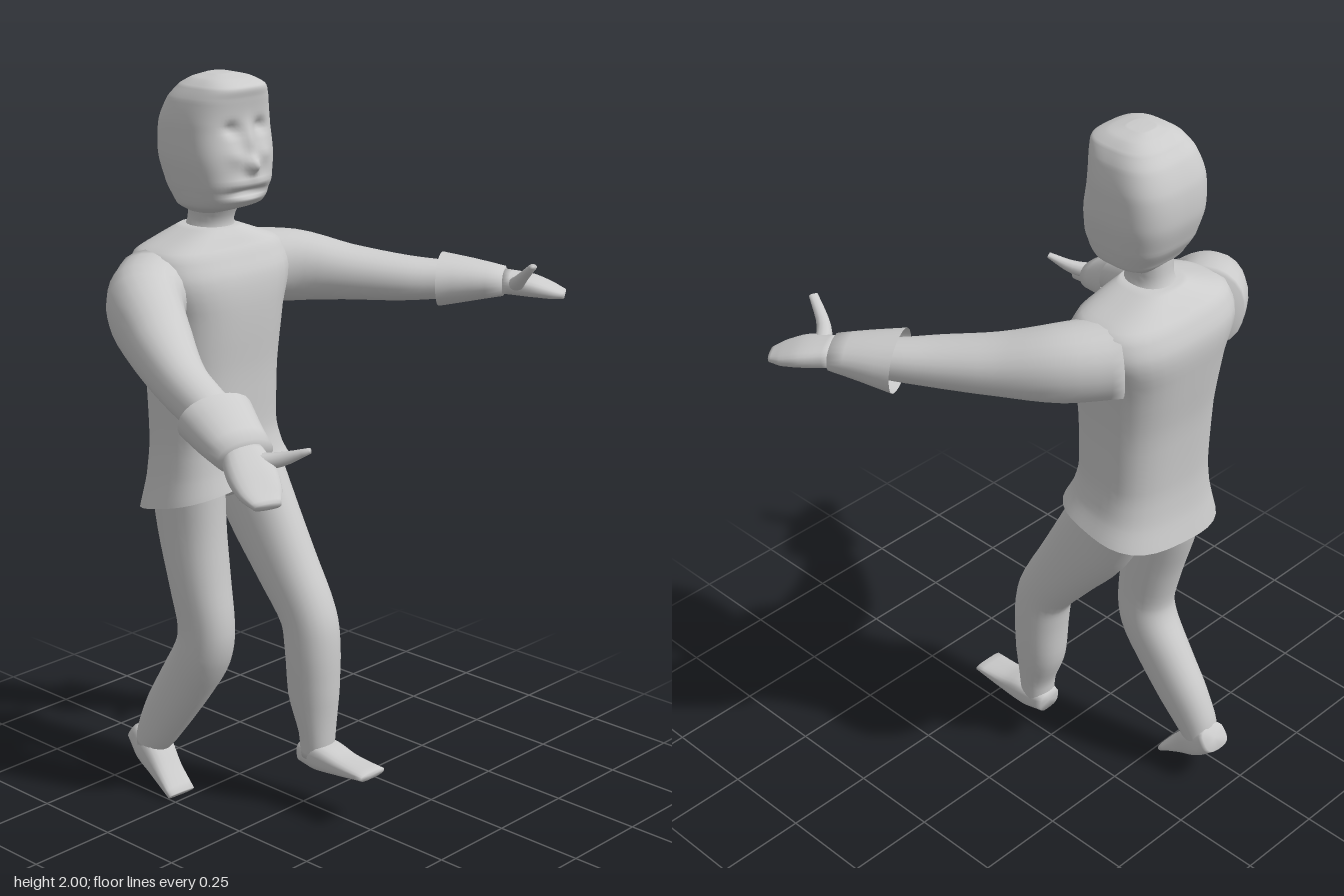
import * as THREE from 'three';

const X = new THREE.Vector3(1, 0, 0);
const Y = new THREE.Vector3(0, 1, 0);
const material = new THREE.MeshStandardMaterial({ color: 0xcccccc, side: THREE.DoubleSide });

// Smooth skin through sections [x, y, z, a, b]: a is the half size along ref,
// b the half size across it, n the squareness of the outline.
function loft(name, sections, { ref = X, axis = null, n = 2.2, seg = 24, sub = 4, caps = [true, true], shape = null } = {}) {
  const path = new THREE.CatmullRomCurve3(sections.map(s => new THREE.Vector3(s[0], s[1], s[2])));
  const size = new THREE.CatmullRomCurve3(sections.map(s => new THREE.Vector3(s[3], s[4], 0)));
  const rows = (sections.length - 1) * sub;
  const pos = [], index = [];
  for (let i = 0; i <= rows; i++) {
    const k = i / rows, c = path.getPoint(k), r = size.getPoint(k);
    const t = axis ? axis.clone() : path.getPoint(Math.min(1, k + 0.01)).sub(path.getPoint(Math.max(0, k - 0.01))).normalize();
    const u = ref.clone().addScaledVector(t, -ref.dot(t)).normalize();
    const v = t.clone().cross(u);
    for (let j = 0; j < seg; j++) {
      const w = j / seg * Math.PI * 2, cs = Math.cos(w), sn = Math.sin(w);
      const m = Math.pow(Math.abs(cs) ** n + Math.abs(sn) ** n, -1 / n);
      const p = c.clone().addScaledVector(u, cs * m * r.x).addScaledVector(v, sn * m * r.y);
      if (shape) shape(p);
      pos.push(p.x, p.y, p.z);
      if (i < rows) {
        const a = i * seg + j, b = i * seg + (j + 1) % seg;
        index.push(a, b, a + seg, b, b + seg, a + seg);
      }
    }
  }
  // End caps
  [0, rows].forEach((row, e) => {
    if (!caps[e]) return;
    const c = path.getPoint(e), id = pos.length / 3;
    if (shape) shape(c);
    pos.push(c.x, c.y, c.z);
    for (let j = 0; j < seg; j++) {
      const a = row * seg + j, b = row * seg + (j + 1) % seg;
      index.push(id, ...(e ? [a, b] : [b, a]));
    }
  });
  const g = new THREE.BufferGeometry();
  g.setAttribute('position', new THREE.Float32BufferAttribute(pos, 3));
  g.setIndex(index);
  g.computeVertexNormals();
  const mesh = new THREE.Mesh(g, material);
  mesh.name = name;
  return mesh;
}

// Front bumps and hollows of the face: [x offset, y, depth, x spread, y spread]
const features = [
  [-0.05, 1.868, -0.018, 0.022, 0.016], [0.05, 1.868, -0.018, 0.022, 0.016],
  [0, 1.835, 0.012, 0.016, 0.04], [0, 1.775, 0.03, 0.02, 0.02],
  [-0.05, 1.80, 0.008, 0.025, 0.02], [0.05, 1.80, 0.008, 0.025, 0.02],
  [0, 1.73, 0.012, 0.07, 0.012], [0, 1.705, -0.018, 0.06, 0.009], [0, 1.685, 0.01, 0.05, 0.01],
];
function sculptFace(p) {
  if (p.z < -0.19) return;
  const x = p.x + 0.085, y = p.y;
  for (const [fx, fy, d, sx, sy] of features)
    p.z += d * Math.exp(-(((x - fx) / sx) ** 2) - ((y - fy) / sy) ** 2);
}

// Hem dips towards the back and the right side
function tiltHem(p) {
  const k = Math.max(0, (1.1 - p.y) / 0.2);
  p.y += k * ((p.x + 0.09) * 0.13 + (p.z + 0.24) * 0.25);
}

function arm(side, sleeve, cuff, hand, thumb) {
  const g = new THREE.Group();
  g.name = side + 'Arm';
  g.add(
    loft(side + 'Sleeve', sleeve, { ref: Y }),
    loft(side + 'Cuff', cuff, { ref: Y, caps: [false, true], sub: 2 }),
    loft(side + 'Hand', hand, { ref: Y, n: 2.8 }),
    loft(side + 'Thumb', thumb, { ref: Y, seg: 12 }),
  );
  return g;
}

function leg(side, limb, foot) {
  const g = new THREE.Group();
  g.name = side + 'Leg';
  g.add(loft(side + 'Trouser', limb), loft(side + 'Foot', foot, { n: 3.2 }));
  return g;
}

export function createModel() {
  const model = new THREE.Group();
  model.name = 'figure';

  // Tunic
  model.add(loft('tunic', [
    [-0.088, 0.90, -0.24, 0.21, 0.155],
    [-0.09, 0.97, -0.242, 0.187, 0.137],
    [-0.09, 1.06, -0.247, 0.174, 0.128],
    [-0.088, 1.22, -0.252, 0.177, 0.133],
    [-0.083, 1.38, -0.26, 0.193, 0.15],
    [-0.08, 1.48, -0.268, 0.225, 0.152],
    [-0.08, 1.545, -0.27, 0.21, 0.125],
    [-0.083, 1.58, -0.265, 0.13, 0.095],
    [-0.085, 1.605, -0.26, 0.065, 0.07],
  ], { axis: Y, n: 2.9, seg: 40, caps: [false, true], shape: tiltHem }));

  // Pelvis under the hem
  model.add(loft('pelvis', [
    [-0.085, 0.88, -0.24, 0.09, 0.07],
    [-0.085, 0.92, -0.24, 0.16, 0.115],
    [-0.085, 1.0, -0.24, 0.16, 0.115],
  ], { axis: Y }));

  // Neck and head
  model.add(loft('neck', [
    [-0.085, 1.56, -0.26, 0.085, 0.085],
    [-0.085, 1.62, -0.252, 0.055, 0.062],
    [-0.085, 1.68, -0.235, 0.068, 0.075],
  ], { axis: Y }));
  model.add(loft('head', [
    [-0.085, 1.645, -0.24, 0.065, 0.05],
    [-0.085, 1.668, -0.22, 0.105, 0.09],
    [-0.085, 1.72, -0.222, 0.122, 0.118],
    [-0.085, 1.80, -0.232, 0.135, 0.128],
    [-0.085, 1.88, -0.235, 0.133, 0.12],
    [-0.085, 1.94, -0.22, 0.118, 0.11],
    [-0.085, 1.972, -0.205, 0.098, 0.098],
    [-0.085, 1.99, -0.208, 0.07, 0.065],
    [-0.085, 2.0, -0.215, 0.03, 0.03],
  ], { axis: Y, n: 3, seg: 80, sub: 7, shape: sculptFace }));

  // Arms reaching forward
  model.add(arm('right',
    [[-0.24, 1.46, -0.29, 0.10, 0.11], [-0.35, 1.43, -0.22, 0.105, 0.10], [-0.41, 1.36, -0.10, 0.085, 0.085],
      [-0.46, 1.30, 0.03, 0.066, 0.066], [-0.49, 1.25, 0.17, 0.055, 0.06], [-0.525, 1.2, 0.3, 0.04, 0.05]],
    [[-0.488, 1.253, 0.17, 0.072, 0.10], [-0.508, 1.222, 0.24, 0.06, 0.088], [-0.525, 1.195, 0.31, 0.046, 0.077]],
    [[-0.52, 1.2, 0.29, 0.036, 0.05], [-0.553, 1.165, 0.36, 0.03, 0.062], [-0.575, 1.135, 0.41, 0.02, 0.055],
      [-0.587, 1.115, 0.445, 0.011, 0.036]],
    [[-0.525, 1.185, 0.335, 0.022, 0.025], [-0.485, 1.195, 0.39, 0.018, 0.018], [-0.452, 1.222, 0.452, 0.007, 0.011]]));
  model.add(arm('left',
    [[0.07, 1.46, -0.29, 0.10, 0.11], [0.18, 1.455, -0.21, 0.095, 0.10], [0.27, 1.44, -0.09, 0.073, 0.088],
      [0.35, 1.43, 0.03, 0.06, 0.076], [0.42, 1.428, 0.12, 0.05, 0.06], [0.505, 1.43, 0.25, 0.036, 0.05]],
    [[0.418, 1.428, 0.108, 0.07, 0.10], [0.462, 1.43, 0.18, 0.055, 0.08], [0.507, 1.43, 0.252, 0.038, 0.062]],
    [[0.505, 1.43, 0.25, 0.03, 0.05], [0.545, 1.422, 0.315, 0.026, 0.06], [0.575, 1.41, 0.36, 0.018, 0.05],
      [0.595, 1.402, 0.388, 0.01, 0.03]],
    [[0.51, 1.425, 0.29, 0.022, 0.025], [0.465, 1.45, 0.335, 0.016, 0.018], [0.441, 1.503, 0.398, 0.008, 0.012]]));

  // Legs in mid stride
  model.add(leg('left',
    [[0.02, 0.95, -0.25, 0.085, 0.11], [0.02, 0.82, -0.18, 0.08, 0.11], [0.018, 0.68, -0.085, 0.076, 0.092],
      [0.02, 0.545, 0, 0.072, 0.077], [0.02, 0.46, 0.015, 0.072, 0.075], [0.02, 0.33, 0.02, 0.066, 0.07],
      [0.018, 0.22, 0.035, 0.052, 0.047], [0.018, 0.15, 0.035, 0.045, 0.042]],
    [[0.018, 0.152, -0.01, 0.036, 0.03], [0.02, 0.156, 0.06, 0.05, 0.038], [0.022, 0.15, 0.14, 0.046, 0.024],
      [0.022, 0.152, 0.235, 0.046, 0.01]]));
  model.add(leg('right',
    [[-0.185, 0.95, -0.25, 0.085, 0.11], [-0.185, 0.8, -0.235, 0.08, 0.1], [-0.187, 0.65, -0.205, 0.077, 0.085],
      [-0.185, 0.52, -0.185, 0.07, 0.08], [-0.183, 0.45, -0.2, 0.072, 0.08], [-0.185, 0.35, -0.26, 0.066, 0.078],
      [-0.19, 0.25, -0.325, 0.06, 0.072], [-0.197, 0.17, -0.37, 0.053, 0.06], [-0.2, 0.12, -0.395, 0.048, 0.045]],
    [[-0.195, 0.147, -0.446, 0.04, 0.035], [-0.2, 0.11, -0.39, 0.05, 0.045], [-0.207, 0.06, -0.33, 0.046, 0.028],
      [-0.21, 0.01, -0.268, 0.046, 0.01]]));

  return model;
}
